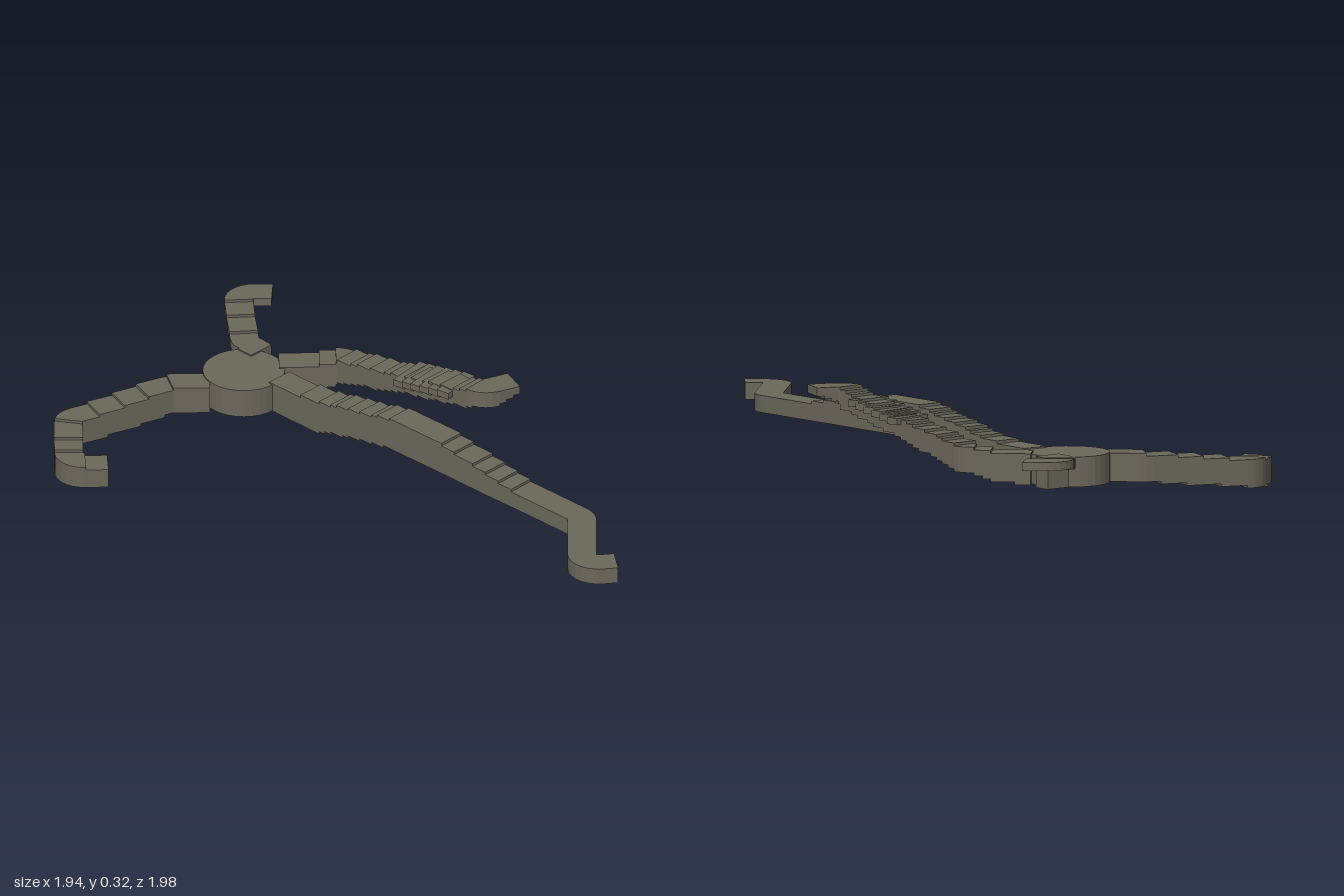
import * as THREE from 'three';
import { mergeGeometries } from 'three/addons/utils/BufferGeometryUtils.js';

const material = new THREE.MeshStandardMaterial({ color: 0x6b675b, flatShading: true });
const RADIUS = 0.055, PIECE = 0.03, STEP = 0.01;
const lerp = THREE.MathUtils.lerp;
const normal = (a) => new THREE.Vector2(-Math.sin(a), Math.cos(a));
const snap = (v) => Math.round(v / STEP) * STEP;

// Stations along a path with rounded corners; each key is [x, z, bottom, top]
function stations(keys) {
  const pts = keys.map(([x, z]) => new THREE.Vector2(x, z));
  const heading = pts.slice(1).map((p, i) => p.clone().sub(pts[i]).angle());
  const out = [];
  const turnAt = (i) => {
    if (i === 0 || i === pts.length - 1) return 0;
    const d = heading[i] - heading[i - 1];
    return Math.atan2(Math.sin(d), Math.cos(d));
  };
  for (let i = 0; i < pts.length - 1; i++) {
    const cut = (j) => RADIUS * Math.tan(Math.abs(turnAt(j)) / 2);
    const length = pts[i].distanceTo(pts[i + 1]);
    const t0 = cut(i) / length, t1 = 1 - cut(i + 1) / length;
    const n = Math.max(1, Math.round((t1 - t0) * length / PIECE));
    for (let k = 0; k <= n; k++) {
      const t = lerp(t0, t1, k / n);
      out.push({
        p: pts[i].clone().lerp(pts[i + 1], t), a: heading[i],
        lo: lerp(keys[i][2], keys[i + 1][2], t), hi: lerp(keys[i][3], keys[i + 1][3], t),
      });
    }
    // arc around the next corner
    const turn = turnAt(i + 1);
    if (Math.abs(turn) < 0.1) continue;
    const s = Math.sign(turn), last = out[out.length - 1];
    const centre = last.p.clone().addScaledVector(normal(heading[i]), RADIUS * s);
    const m = Math.ceil(Math.abs(turn) / 0.25);
    for (let k = 1; k < m; k++) {
      const a = heading[i] + turn * k / m;
      out.push({
        p: centre.clone().addScaledVector(normal(a), -RADIUS * s), a,
        lo: keys[i + 1][2], hi: keys[i + 1][3],
      });
    }
  }
  return out;
}

// Terraced walkway: one flat block between each pair of stations
function walkway(name, keys, width = 0.1) {
  const line = stations(keys), blocks = [];
  for (let i = 0; i < line.length - 1; i++) {
    const a = line[i], b = line[i + 1];
    if (a.p.distanceTo(b.p) < 1e-4) continue;
    const lo = snap((a.lo + b.lo) / 2), hi = snap((a.hi + b.hi) / 2);
    const block = new THREE.BoxGeometry(1, 1, 1), pos = block.attributes.position;
    for (let v = 0; v < pos.count; v++) {
      const end = pos.getX(v) < 0 ? a : b;
      const q = end.p.clone().addScaledVector(normal(end.a), pos.getZ(v) * width);
      pos.setXYZ(v, q.x, pos.getY(v) < 0 ? lo : hi, q.y);
    }
    block.computeVertexNormals();
    blocks.push(block);
  }
  const mesh = new THREE.Mesh(mergeGeometries(blocks), material);
  mesh.name = name;
  return mesh;
}

export function createModel() {
  const model = new THREE.Group();
  model.name = 'branchingWalkway';

  // Round central platform
  const hub = new THREE.Mesh(new THREE.CylinderGeometry(0.143, 0.143, 0.105, 32), material);
  hub.name = 'hub';
  hub.position.set(-0.312, 0.1025, -0.463);
  model.add(hub);

  // Arm descending to the right
  model.add(walkway('rightArm', [
    [-0.43, -0.4, 0.05, 0.155], [-0.57, -0.4, 0.05, 0.145], [-0.75, -0.31, 0.03, 0.125],
    [-0.925, -0.225, 0.01, 0.105], [-0.925, -0.1, 0, 0.095],
    [-0.925, 0.027, 0, 0.08], [-0.79, 0.022, 0, 0.07],
  ]));

  // Short arm rising to the back, on a thick foot block
  model.add(walkway('backArmFoot', [
    [-0.25, -0.59, 0.05, 0.155], [-0.295, -0.635, 0.05, 0.155],
  ]));
  model.add(walkway('backArm', [
    [-0.255, -0.6, 0.12, 0.155], [-0.305, -0.655, 0.13, 0.16], [-0.318, -0.8, 0.15, 0.175],
    [-0.328, -0.95, 0.16, 0.19], [-0.207, -0.942, 0.16, 0.19],
  ]));

  // Arm climbing to the left
  model.add(walkway('leftArm', [
    [-0.19, -0.52, 0.05, 0.155], [-0.05, -0.52, 0.06, 0.165], [0.03, -0.52, 0.09, 0.18],
    [0.16, -0.395, 0.14, 0.215], [0.3, -0.26, 0.19, 0.255], [0.42, -0.14, 0.225, 0.29],
    [0.515, -0.05, 0.255, 0.32], [0.62, -0.1, 0.29, 0.315],
  ]));

  // Wide cross treads on the climbing arm
  const treads = new THREE.Group();
  treads.name = 'crossTreads';
  for (let i = 0; i < 6; i++) {
    const t = i / 5;
    const tread = new THREE.Mesh(new THREE.BoxGeometry(0.05, 0.024, 0.155), material);
    tread.name = 'crossTread';
    tread.position.set(lerp(0.27, 0.42, t), lerp(0.235, 0.275, t), lerp(-0.28, -0.14, t));
    tread.rotation.y = -0.66;
    treads.add(tread);
  }
  model.add(treads);

  // Long arched arm to the front left
  model.add(walkway('frontArm', [
    [-0.19, -0.405, 0.05, 0.155], [-0.04, -0.255, 0.05, 0.17], [0.1, -0.115, 0.1, 0.21],
    [0.22, 0.005, 0.13, 0.245], [0.4, 0.18, 0.13, 0.245], [0.55, 0.33, 0.13, 0.215],
    [0.66, 0.435, 0.13, 0.19], [0.848, 0.62, 0.13, 0.19], [0.843, 0.942, 0.13, 0.19],
    [0.9, 0.935, 0.13, 0.19],
  ]));
  model.add(walkway('frontArmTip', [[0.895, 0.937, 0.13, 0.19], [0.962, 0.928, 0.13, 0.19]]));
  return model;
}
